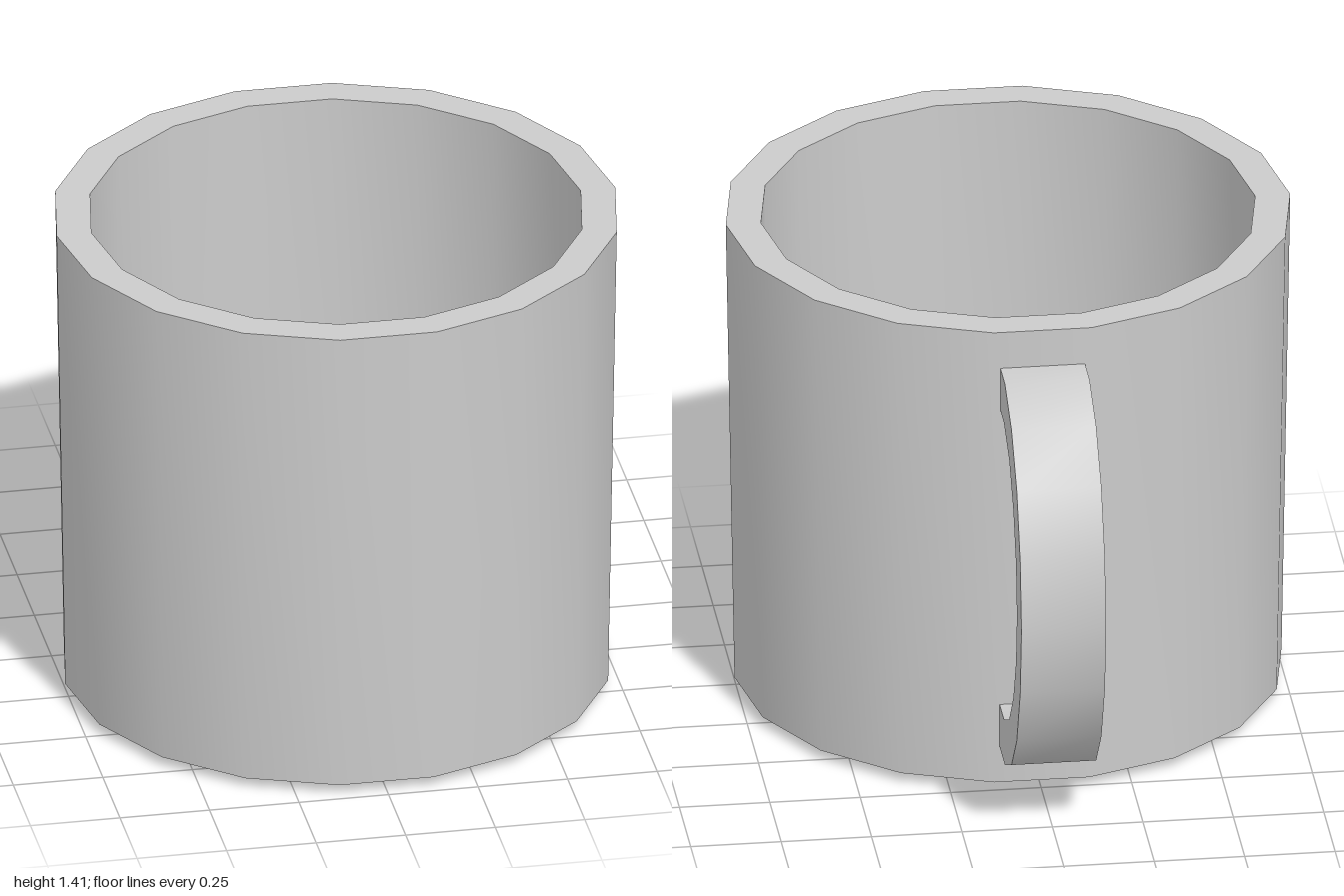
import * as THREE from 'three';
import { toCreasedNormals } from 'three/addons/utils/BufferGeometryUtils.js';

const SIDES = 18;
const CUP_Z = 0.232; // cup axis sits forward of the centre, the handle is behind
const HANDLE_Y = 0.72;
const CREASE = 0.7;

export function createModel() {
  const group = new THREE.Group();
  group.name = 'mug';
  const material = new THREE.MeshStandardMaterial({ color: 0xcccccc });

  const add = (name, geometry) => {
    const mesh = new THREE.Mesh(toCreasedNormals(geometry, CREASE), material);
    mesh.name = name;
    group.add(mesh);
    return mesh;
  };

  // Cup: shallow bevelled base, slightly flared wall, flat rim, straight interior
  const profile = [
    [0, 0], [0.34, 0], [0.756, 0.03], [0.78, 1.41],
    [0.683, 1.41], [0.683, 0.1], [0, 0.1],
  ].map(([r, y]) => new THREE.Vector2(r, y));
  const cup = add('cup', new THREE.LatheGeometry(profile, SIDES, Math.PI / SIDES));
  cup.position.z = CUP_Z;

  // Handle: upper half of each outline as [distance behind, height above its middle]
  const outer = [[0.5, 0.58], [0.635, 0.58], [0.78, 0.51], [0.897, 0.38], [0.973, 0.2], [1, 0]];
  const inner = [[0.5, 0.452], [0.613, 0.452], [0.73, 0.395], [0.822, 0.285], [0.88, 0.15], [0.9, 0]];
  const mirrored = (half) => [...half, ...half.slice(0, -1).reverse().map(([d, h]) => [d, -h])];
  const outline = [...mirrored(outer), ...mirrored(inner).reverse()];
  const shape = new THREE.Shape(outline.map(([d, h]) => new THREE.Vector2(d, h)));
  const width = 0.234;
  const strap = new THREE.ExtrudeGeometry(shape, { depth: width, bevelEnabled: false });
  strap.translate(0, 0, -width / 2).rotateY(Math.PI / 2);
  add('handle', strap).position.y = HANDLE_Y;

  return group;
}
